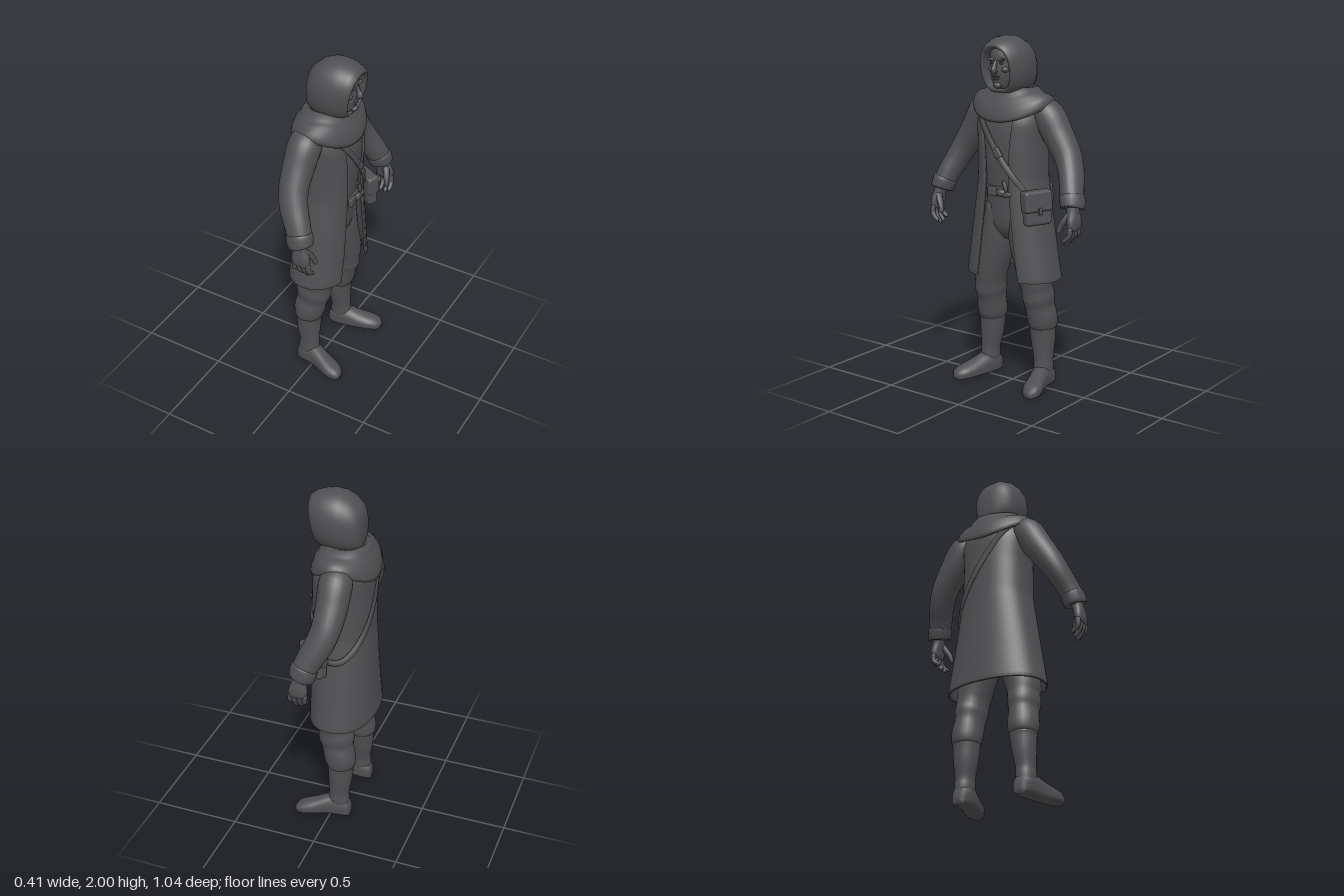
import * as THREE from 'three';
import { RoundedBoxGeometry } from 'three/addons/geometries/RoundedBoxGeometry.js';

const charcoal = new THREE.MeshStandardMaterial({ color: 0x505053, side: THREE.DoubleSide });
charcoal.name = 'charcoal';
const V = (x, y, z) => new THREE.Vector3(x, y, z);
const pow = (c, e) => Math.sign(c) * Math.abs(c) ** e;

function mesh(name, geo, parent, pos = [0, 0, 0], rot = [0, 0, 0]) {
  const m = new THREE.Mesh(geo, charcoal);
  m.name = name;
  m.position.set(...pos);
  m.rotation.set(...rot);
  parent.add(m);
  return m;
}

// Skin over closed rings of equal length, with optional end caps or end-to-end loop
function skin(rings, { caps = true, loop = false } = {}) {
  const n = rings[0].length, R = rings.length, pts = rings.flat(), idx = [];
  for (let i = 0; i < (loop ? R : R - 1); i++) for (let j = 0; j < n; j++) {
    const k = (j + 1) % n, r = ((i + 1) % R) * n;
    idx.push(i * n + j, i * n + k, r + k, i * n + j, r + k, r + j);
  }
  if (caps && !loop) [0, R - 1].forEach((i) => {
    const c = V(0, 0, 0);
    rings[i].forEach((p) => c.addScaledVector(p, 1 / n));
    pts.push(c);
    for (let j = 0; j < n; j++) {
      const a = i * n + j, b = i * n + (j + 1) % n;
      if (i) idx.push(a, b, pts.length - 1); else idx.push(b, a, pts.length - 1);
    }
  });
  const g = new THREE.BufferGeometry().setFromPoints(pts);
  g.setIndex(idx);
  g.computeVertexNormals();
  return g;
}

// Smooth limb through [x, y, z, radius toward the front, radius sideways]
function limb(list, { n = 20, steps = 5, p = 2, caps = true } = {}) {
  const path = new THREE.CatmullRomCurve3(list.map((q) => V(q[0], q[1], q[2])), false, 'catmullrom');
  const size = new THREE.CatmullRomCurve3(list.map((q) => V(q[3], q[4], 0)), false, 'catmullrom');
  const N = (list.length - 1) * steps, rings = [];
  for (let i = 0; i <= N; i++) {
    const c = path.getPoint(i / N), s = size.getPoint(i / N), t = path.getTangent(i / N);
    const u = V(1, 0, 0).addScaledVector(t, -t.x).normalize(), v = t.clone().cross(u);
    rings.push(Array.from({ length: n }, (_, j) => {
      const a = j / n * Math.PI * 2;
      return c.clone().addScaledVector(u, s.x * pow(Math.cos(a), 2 / p)).addScaledVector(v, s.y * pow(Math.sin(a), 2 / p));
    }));
  }
  return skin(rings, { caps });
}

function blob(name, parent, pos, size, rot) {
  return mesh(name, new THREE.SphereGeometry(1, 16, 12).scale(...size), parent, pos, rot);
}

// Coat shape by height: y, centre x, depth, half width, half opening
const coatRows = [[0.64, -0.018, 0.188, 0.295, 0.148], [0.82, -0.014, 0.182, 0.265, 0.122], [1.0, -0.012, 0.176, 0.236, 0.1],
  [1.2, -0.01, 0.17, 0.205, 0.08], [1.4, -0.006, 0.17, 0.202, 0.088], [1.53, -0.008, 0.165, 0.21, 0.1],
  [1.62, -0.015, 0.14, 0.19, 0.1], [1.69, -0.01, 0.09, 0.11, 0.06]];
function coatAt(y) {
  let i = 0;
  while (i < coatRows.length - 2 && y > coatRows[i + 1][0]) i++;
  const a = coatRows[i], b = coatRows[i + 1], k = THREE.MathUtils.clamp((y - a[0]) / (b[0] - a[0]), 0, 1);
  return a.map((q, m) => q + (b[m] - q) * k);
}
function coatPoint(a, y, off = 0) {
  const [, cx, rx, rz] = coatAt(y);
  return V(cx + (rx + off) * pow(Math.cos(a), 0.88), y, -(rz + off) * pow(Math.sin(a), 0.88));
}

function coat() {
  const rings = [], n = 48;
  for (let i = -1; i <= 42; i++) {
    const y = 0.64 + Math.max(i, 0) * 0.025, [, , , rz, gap] = coatAt(y), g = Math.asin((gap / rz) ** (1 / 0.88));
    const side = (off) => Array.from({ length: n + 1 }, (_, j) => coatPoint(g + (Math.PI * 2 - 2 * g) * j / n, y, off));
    rings.push([...side(i < 0 ? -0.006 : 0), ...side(i < 0 ? -0.007 : -0.014).reverse()]);
  }
  return skin(rings, { caps: false });
}

function cowl() {
  // depth, half width, height at the shoulders, droop at front and back
  const rows = [[0.08, 0.09, 1.66, 0], [0.105, 0.11, 1.715, 0.01], [0.125, 0.135, 1.722, 0.015], [0.14, 0.165, 1.70, 0.02],
    [0.148, 0.185, 1.692, 0.035], [0.165, 0.215, 1.685, 0.05], [0.18, 0.243, 1.665, 0.075], [0.187, 0.253, 1.635, 0.085],
    [0.184, 0.248, 1.615, 0.085], [0.165, 0.225, 1.61, 0.07], [0.12, 0.17, 1.63, 0.05]];
  return skin(rows.reverse().map(([rx, rz, y, d]) => Array.from({ length: 48 }, (_, j) => {
    const a = j / 48 * Math.PI * 2, c = Math.cos(a);
    return V(-0.016 + rx * c, y - d * c * c + 0.004 * Math.sin(3 * a + y * 40), -rz * Math.sin(a));
  })), { caps: false });
}

function hood() {
  // x, half width, top, bottom, backward lean of the lower edge
  const rows = [[-0.116, 0.02, 1.83, 1.76, 0], [-0.114, 0.07, 1.89, 1.71, 0], [-0.095, 0.1, 1.935, 1.69, 0.02],
    [-0.05, 0.126, 1.975, 1.68, 0.03], [0.0, 0.138, 1.996, 1.675, 0.05], [0.05, 0.141, 2.0, 1.675, 0.08],
    [0.1, 0.137, 1.993, 1.68, 0.12], [0.15, 0.121, 1.975, 1.685, 0.17], [0.178, 0.106, 1.957, 1.695, 0.2],
    [0.182, 0.095, 1.945, 1.705, 0.2], [0.172, 0.086, 1.936, 1.712, 0.2], [0.13, 0.084, 1.93, 1.715, 0.15], [0.06, 0.08, 1.92, 1.72, 0.1]];
  return skin(rows.map(([x, w, top, bot, lean]) => Array.from({ length: 40 }, (_, j) => {
    const a = j / 40 * Math.PI * 2, s = Math.sin(a), y = (top + bot) / 2 + (top - bot) / 2 * pow(s, 0.9);
    // lower half is boxier than the domed crown
    return V(x - lean * (1.95 - y), y, -w * pow(Math.cos(a), s < 0 ? 0.62 : 0.92));
  })));
}

function strap() {
  const at = (a, off) => {
    let y = 1.39;
    for (let k = 0; k < 25; k++) y = y * 0.4 + 0.6 * Math.min(1.64, 1.39 + 1.43 * coatPoint(a, y).z);
    return coatPoint(a, y, off);
  };
  const rings = Array.from({ length: 80 }, (_, i) => {
    const a = i / 80 * Math.PI * 2, e = at(a + 0.02, 0).sub(at(a - 0.02, 0)).normalize();
    const out = V(Math.cos(a), 0, -Math.sin(a)), w = e.cross(out).normalize().multiplyScalar(0.015);
    return [[-0.004, 1], [-0.004, -1], [0.012, -1], [0.012, 1]].map(([o, s]) => at(a, o).addScaledVector(w, s));
  });
  return skin(rings, { loop: true });
}

function boot() {
  // x, centre z, half width, height
  const rows = [[-0.112, 0.19, 0.03, 0.07], [-0.1, 0.19, 0.046, 0.1], [-0.06, 0.192, 0.056, 0.13], [0, 0.198, 0.055, 0.13],
    [0.05, 0.212, 0.055, 0.108], [0.1, 0.23, 0.059, 0.088], [0.15, 0.245, 0.058, 0.074], [0.185, 0.252, 0.045, 0.06], [0.204, 0.255, 0.022, 0.04]];
  return skin(rows.map(([x, z, w, h]) => Array.from({ length: 24 }, (_, j) => {
    const a = j / 24 * Math.PI * 2, s = Math.sin(a);
    return V(x, h / 2 + h / 2 * pow(s, s < 0 ? 0.45 : 1), z - w * pow(Math.cos(a), s < 0 ? 0.6 : 0.9));
  })));
}

function leg() {
  const g = new THREE.Group();
  mesh('trouserLeg', limb([[0, 1.06, 0.07, 0.11, 0.08], [-0.005, 0.85, 0.1, 0.112, 0.098], [-0.005, 0.66, 0.155, 0.105, 0.098],
    [-0.012, 0.58, 0.165, 0.1, 0.088], [-0.02, 0.53, 0.17, 0.104, 0.088], [-0.028, 0.48, 0.172, 0.094, 0.08], [-0.04, 0.42, 0.178, 0.092, 0.086],
    [-0.048, 0.375, 0.18, 0.088, 0.084], [-0.05, 0.345, 0.18, 0.076, 0.074], [-0.05, 0.34, 0.18, 0.05, 0.05]], { n: 24 }), g);
  mesh('bootShaft', limb([[-0.048, 0.365, 0.18, 0.066, 0.066], [-0.048, 0.345, 0.18, 0.077, 0.077], [-0.048, 0.325, 0.18, 0.075, 0.075],
    [-0.047, 0.25, 0.184, 0.07, 0.068], [-0.042, 0.16, 0.19, 0.06, 0.055], [-0.042, 0.11, 0.192, 0.063, 0.055], [-0.045, 0.05, 0.194, 0.06, 0.05]], { n: 24 }), g);
  mesh('bootFoot', boot(), g);
  return g;
}

function arm() {
  const g = new THREE.Group();
  mesh('sleeve', limb([[-0.03, 1.62, 0.15, 0.07, 0.05], [-0.035, 1.57, 0.215, 0.092, 0.088], [-0.038, 1.46, 0.285, 0.088, 0.085],
    [-0.03, 1.36, 0.35, 0.082, 0.076], [-0.005, 1.28, 0.392, 0.08, 0.068], [0.035, 1.2, 0.425, 0.074, 0.064], [0.062, 1.14, 0.446, 0.07, 0.062]], { n: 24 }), g);
  mesh('cuff', limb([[0.055, 1.16, 0.44, 0.066, 0.058], [0.058, 1.15, 0.443, 0.076, 0.067], [0.07, 1.105, 0.456, 0.074, 0.064],
    [0.073, 1.095, 0.458, 0.066, 0.056], [0.07, 1.105, 0.456, 0.03, 0.03]].slice(0, 4)), g);
  mesh('palm', limb([[0.073, 1.12, 0.458, 0.036, 0.032], [0.08, 1.075, 0.466, 0.04, 0.03], [0.085, 1.03, 0.476, 0.053, 0.028],
    [0.088, 0.995, 0.478, 0.052, 0.024], [0.088, 0.98, 0.476, 0.04, 0.016]], { n: 16, p: 2.5 }), g);
  [[0.044, 0.925, 0.03], [0.073, 0.905, 0.06], [0.102, 0.9, 0.09], [0.128, 0.915, 0.12]].forEach(([x, y, k], i) =>
    mesh('finger' + (i + 1), limb([[x, 1.0, 0.478, 0.014, 0.016], [x + 0.004, 0.96, 0.478, 0.014, 0.015],
      [x + 0.008, (y + 0.96) / 2, 0.462, 0.013, 0.013], [x + 0.008, y + 0.004, 0.44, 0.011, 0.011], [x + 0.008, y, 0.434, 0.004, 0.004]], { n: 10, steps: 3 }), g));
  mesh('thumb', limb([[0.1, 1.07, 0.46, 0.02, 0.018], [0.118, 1.035, 0.437, 0.02, 0.018], [0.13, 1.0, 0.417, 0.015, 0.015],
    [0.136, 0.97, 0.41, 0.012, 0.012], [0.137, 0.962, 0.409, 0.004, 0.004]], { n: 10, steps: 4 }), g);
  return g;
}

function head() {
  const g = new THREE.Group();
  g.name = 'head';
  mesh('skull', limb([[0.105, 1.705, 0, 0.02, 0.02], [0.1, 1.715, 0, 0.05, 0.04], [0.085, 1.75, 0, 0.07, 0.062], [0.075, 1.8, 0, 0.082, 0.074],
    [0.07, 1.85, 0, 0.083, 0.08], [0.065, 1.9, 0, 0.085, 0.08], [0.05, 1.945, 0, 0.06, 0.06], [0.05, 1.96, 0, 0.02, 0.02]], { n: 28 }), g);
  mesh('neck', limb([[0.0, 1.6, 0, 0.07, 0.07], [0.04, 1.76, 0, 0.06, 0.06]]), g);
  mesh('nose', limb([[0.152, 1.868, 0, 0.008, 0.008], [0.163, 1.84, 0, 0.012, 0.01], [0.17, 1.818, 0, 0.019, 0.016], [0.158, 1.805, 0, 0.012, 0.014]], { n: 12 }), g);
  for (const s of [1, -1]) {
    blob('brow', g, [0.143, 1.872, 0.032 * s], [0.014, 0.008, 0.028], [0.2 * -s, 0.3 * s, 0]);
    blob('eye', g, [0.142, 1.853, 0.031 * s], [0.009, 0.006, 0.014]);
    blob('cheek', g, [0.126, 1.82, 0.043 * s], [0.022, 0.018, 0.022]);
  }
  blob('upperLip', g, [0.153, 1.782, 0], [0.009, 0.006, 0.026]);
  blob('lowerLip', g, [0.152, 1.769, 0], [0.009, 0.006, 0.02]);
  blob('chin', g, [0.14, 1.733, 0], [0.02, 0.018, 0.026]);
  return g;
}

export function createModel() {
  const model = new THREE.Group();
  model.name = 'hoodedTraveller';

  // Body and clothing
  mesh('shirt', limb([[-0.01, 0.86, 0, 0.07, 0.06], [-0.008, 0.94, 0, 0.115, 0.14], [-0.004, 1.1, 0, 0.128, 0.155], [0, 1.22, 0, 0.14, 0.16],
    [-0.002, 1.4, 0, 0.158, 0.182], [-0.006, 1.53, 0, 0.154, 0.19], [-0.012, 1.62, 0, 0.125, 0.17], [-0.01, 1.68, 0, 0.08, 0.09]], { n: 32, p: 2.2 }), model);
  mesh('coat', coat(), model);
  mesh('cowl', cowl(), model);
  mesh('hood', hood(), model);
  model.add(head());

  // Mirrored limbs
  for (const [name, make] of [['Leg', leg], ['Arm', arm]]) for (const s of [1, -1]) {
    const g = make();
    g.name = (s > 0 ? 'near' : 'far') + name;
    g.scale.z = s;
    model.add(g);
  }

  // Belt with a tied knot
  mesh('belt', limb([[0, 1.115, 0, 0.13, 0.155], [0, 1.12, 0, 0.143, 0.168], [0, 1.165, 0, 0.148, 0.17], [0, 1.17, 0, 0.135, 0.157]], { n: 32, steps: 2, p: 2.2 }), model);
  mesh('buckle', new RoundedBoxGeometry(0.022, 0.05, 0.06, 2, 0.008), model, [0.15, 1.143, 0.03]);
  blob('beltKnot', model, [0.15, 1.14, -0.03], [0.018, 0.022, 0.03]);
  blob('beltEnd', model, [0.148, 1.132, -0.07], [0.013, 0.016, 0.034], [0.2, 0, 0]);
  blob('beltLoop', model, [0.148, 1.178, -0.058], [0.01, 0.034, 0.014], [0.35, 0, 0]);

  // Shoulder strap and satchel
  mesh('strap', strap(), model);
  mesh('strapBuckle', new RoundedBoxGeometry(0.02, 0.06, 0.042, 2, 0.006), model, [0.168, 1.365, -0.02], [0.61, 0, 0]);
  const bag = new THREE.Group();
  bag.name = 'satchel';
  bag.position.set(0.09, 1.068, -0.232);
  bag.rotation.set(0.08, -0.44, 0);
  mesh('satchelBody', new RoundedBoxGeometry(0.16, 0.185, 0.066, 3, 0.02), bag);
  mesh('satchelFlap', new RoundedBoxGeometry(0.172, 0.12, 0.076, 3, 0.018), bag, [0, 0.042, -0.003]);
  mesh('satchelClasp', new RoundedBoxGeometry(0.022, 0.04, 0.012, 2, 0.004), bag, [0, -0.012, -0.042]);
  model.add(bag);
  return model;
}
